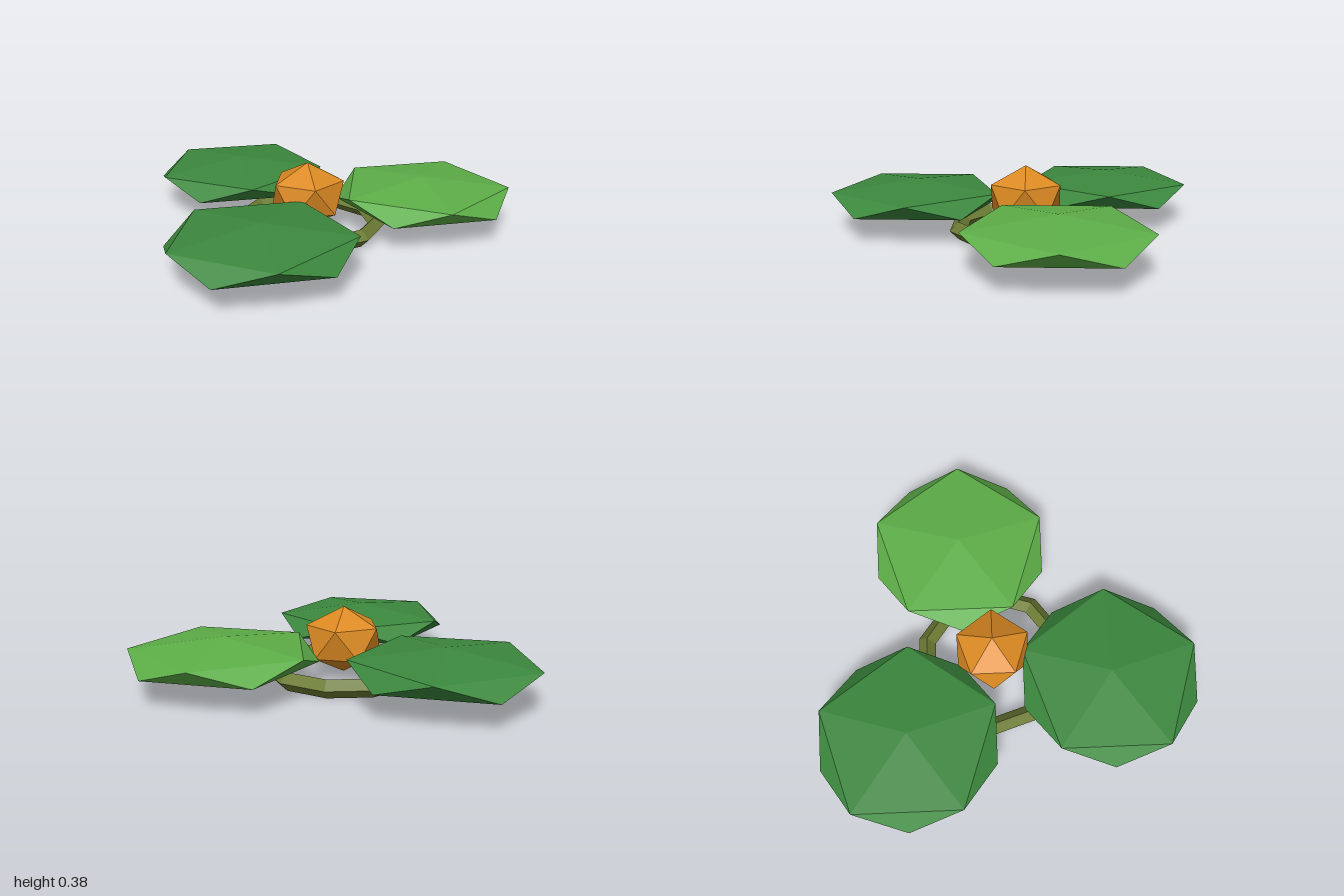
import * as THREE from 'three';

const flat = (name, color) => {
  const m = new THREE.MeshStandardMaterial({ color, flatShading: true });
  m.name = name;
  return m;
};

// Icosahedron standing on a vertex, with an upper-ring corner pointing to +x
function uprightIcosahedron(radius, height) {
  const t = (1 + Math.sqrt(5)) / 2;
  return new THREE.IcosahedronGeometry(1, 0)
    .rotateZ(-Math.atan(1 / t))
    .scale(radius, height, radius);
}

export function createModel() {
  const group = new THREE.Group();
  const darkGreen = flat('dark green', 0x3c883e);
  const lightGreen = flat('light green', 0x5dae48);
  const orange = flat('orange', 0xdc8a22);
  const olive = flat('olive', 0x6c7c34);

  const add = (name, geometry, material, x, y, z) => {
    const mesh = new THREE.Mesh(geometry, material);
    mesh.name = name;
    mesh.position.set(x, y, z);
    group.add(mesh);
  };

  // Three flattened leaf pads around the centre
  const pad = uprightIcosahedron(0.528, 0.095);
  add('backLeaf', pad, darkGreen, -0.527, 0.175, -0.527);
  add('leftLeaf', pad, lightGreen, 0.527, 0.175, -0.245);
  add('frontLeaf', pad, darkGreen, -0.243, 0.175, 0.522);

  // Flower bud in the middle
  add('bud', uprightIcosahedron(0.216, 0.173), orange, -0.083, 0.207, -0.083);

  // Ten-sided stem ring on the ground
  const ring = new THREE.TorusGeometry(0.37, 0.0475, 4, 10).rotateX(-Math.PI / 2);
  add('stemRing', ring, olive, -0.083, 0.0475, -0.083);

  return group;
}
